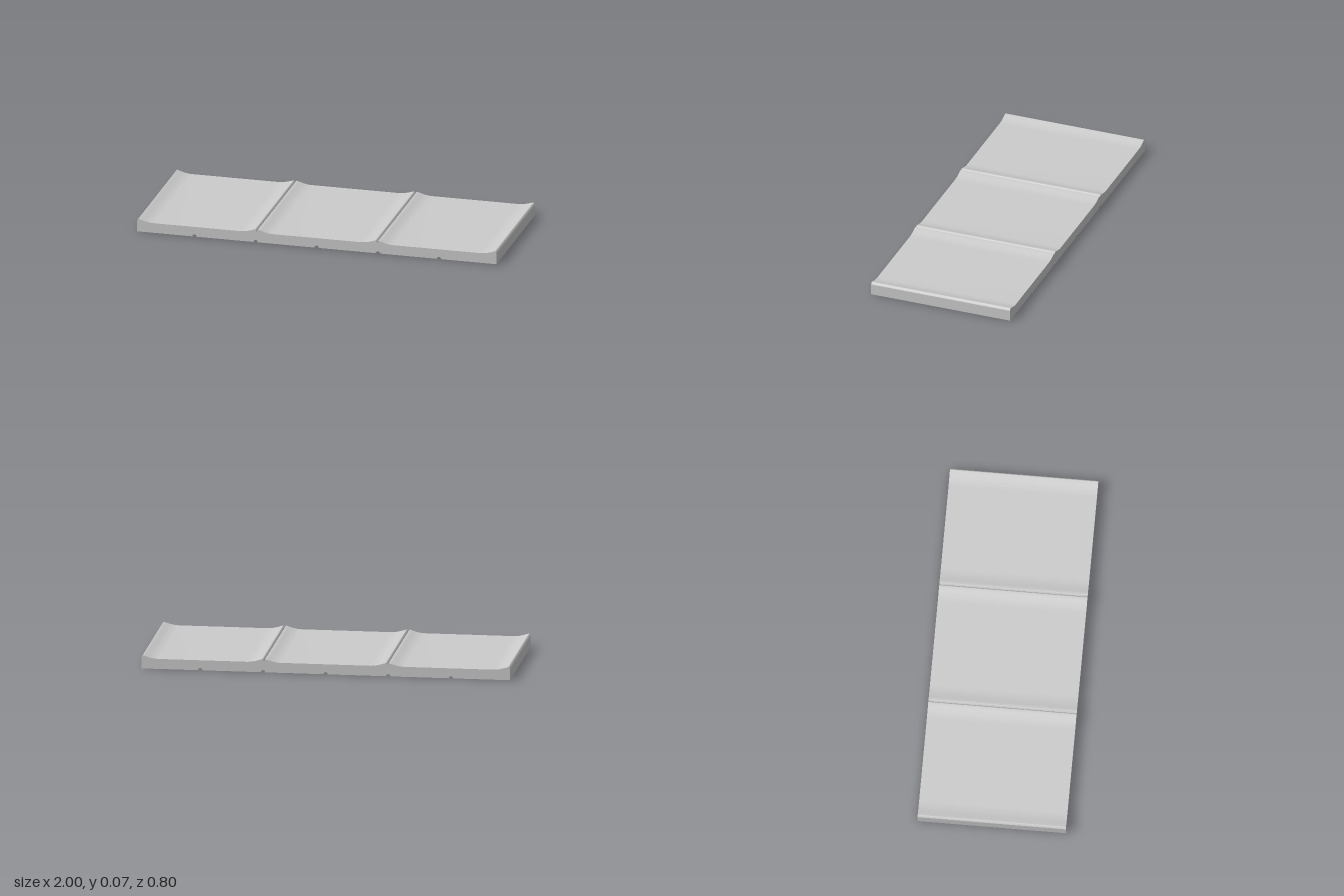
import * as THREE from 'three';
import { toCreasedNormals } from 'three/addons/utils/BufferGeometryUtils.js';

const HALF_WIDTH = 1, DEPTH = 0.8;
const FLAT = 0.055, PEAK = 0.072, EDGE = 0.06;
const GROOVE = 0.012; // radius of the underside grooves

// Top of one panel, from its left seam to its right: lip, flat, lip
function panelTop(shape, x0, x1) {
  shape.lineTo(x0, EDGE);
  shape.lineTo(x0 + 0.007, PEAK - 0.001);
  shape.quadraticCurveTo(x0 + 0.009, PEAK + 0.001, x0 + 0.014, PEAK - 0.001);
  shape.bezierCurveTo(x0 + 0.045, 0.062, x0 + 0.06, FLAT, x0 + 0.1, FLAT);
  shape.lineTo(x1 - 0.1, FLAT);
  shape.bezierCurveTo(x1 - 0.06, FLAT, x1 - 0.045, 0.062, x1 - 0.014, PEAK - 0.001);
  shape.quadraticCurveTo(x1 - 0.009, PEAK + 0.001, x1 - 0.007, PEAK - 0.001);
  shape.lineTo(x1, EDGE);
}

export function createModel() {
  const group = new THREE.Group();
  group.name = 'panelledSlab';

  const profile = new THREE.Shape();
  profile.moveTo(-HALF_WIDTH, 0);

  // Three dished panels meeting in V-shaped seams
  const seams = [-HALF_WIDTH, -0.335, 0.335, HALF_WIDTH];
  for (let i = 0; i < 3; i++) panelTop(profile, seams[i], seams[i + 1]);

  // Underside with five round grooves, traced right to left
  profile.lineTo(HALF_WIDTH, 0);
  for (let i = 2; i >= -2; i--) {
    const x = i * 0.34;
    profile.lineTo(x + GROOVE, 0);
    profile.absarc(x, 0, GROOVE, 0, Math.PI, false);
  }
  profile.closePath();

  const extruded = new THREE.ExtrudeGeometry(profile, {
    depth: DEPTH, bevelEnabled: false, curveSegments: 10,
  });
  extruded.translate(0, 0, -DEPTH / 2);

  const slab = new THREE.Mesh(
    toCreasedNormals(extruded, Math.PI / 6),
    new THREE.MeshStandardMaterial({ color: 0xcccccc }),
  );
  slab.name = 'slab';
  group.add(slab);
  return group;
}
